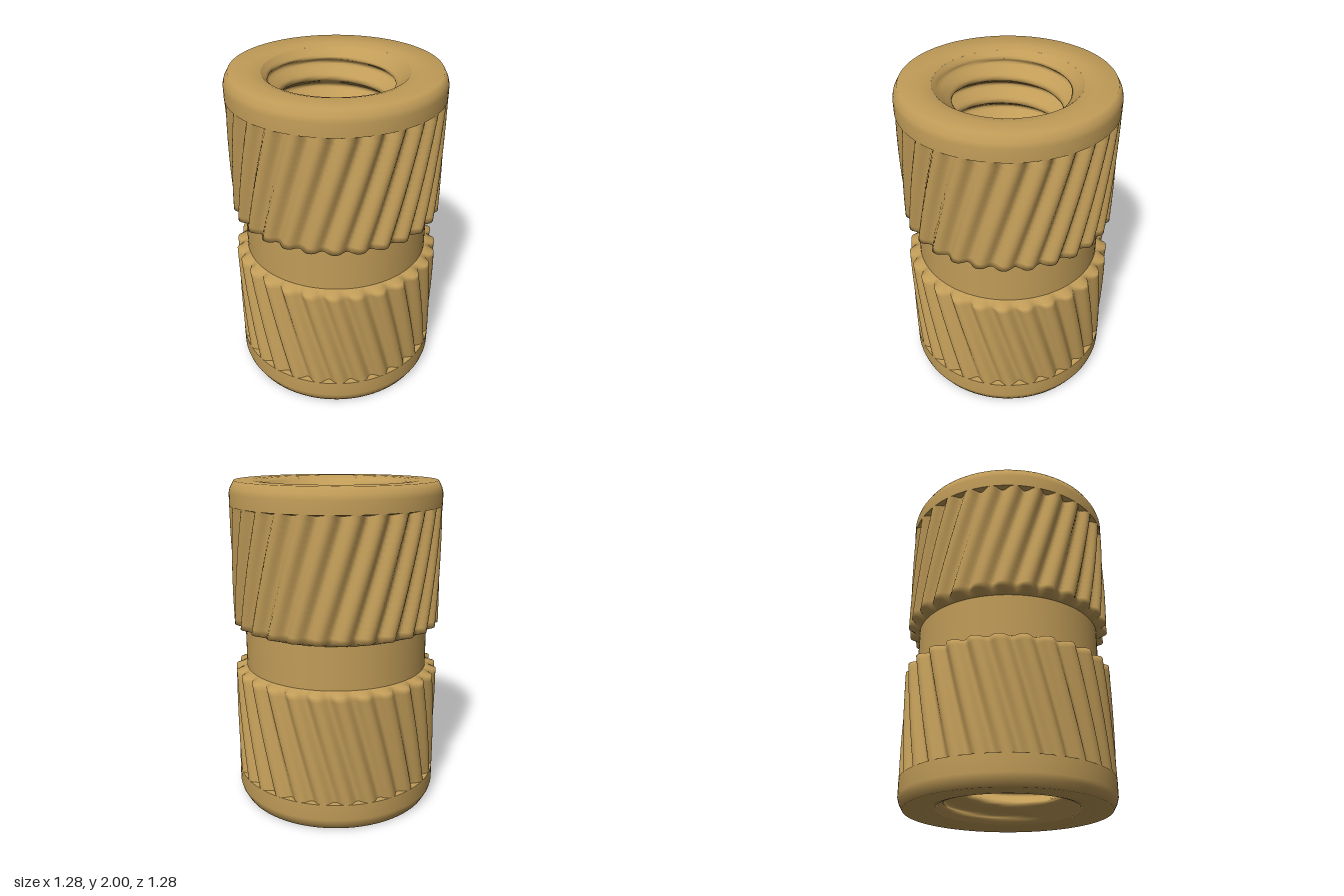
import * as THREE from 'three';
import { mergeVertices } from 'three/addons/utils/BufferGeometryUtils.js';

const TEETH = 28;
const STEP = (Math.PI * 2) / TEETH;
const R = 0.64, NECK = 0.57;

// Turned shape whose radius can be altered by rule(angle, y, r)
function turned(profile, segments, rule) {
  const pts = profile.map(([r, y]) => new THREE.Vector2(r, y));
  let g = new THREE.LatheGeometry(pts, segments);
  if (!rule) return g;
  const p = g.attributes.position;
  for (let i = 0; i < p.count; i++) {
    const x = p.getX(i), z = p.getZ(i), y = p.getY(i);
    const a = Math.atan2(x, z), r = Math.hypot(x, z);
    const k = rule(a, y, r) / r;
    p.setX(i, x * k);
    p.setZ(i, z * k);
  }
  g.deleteAttribute('uv');
  g.deleteAttribute('normal');
  g = mergeVertices(g, 1e-5);
  g.computeVertexNormals();
  return g;
}

// Band of slanted teeth; phase is the angle of one groove at y0, slope is the twist per unit height
function knurl(ends, y0, y1, phase, slope) {
  const rows = [];
  for (let i = 0; i <= 20; i++) rows.push([R, y0 + ((y1 - y0) * i) / 20]);
  const profile = [...ends.below, ...rows, ...ends.above];
  return turned(profile, TEETH * 12, (a, y, r) => {
    if (r < R - 0.01) return r;
    const t = (a - phase - slope * (y - y0)) / STEP;
    const groove = Math.pow(0.5 + 0.5 * Math.cos(t * Math.PI * 2), 1.5);
    return r - 0.038 * groove;
  });
}

export function createModel() {
  const group = new THREE.Group();
  const brass = new THREE.MeshStandardMaterial({ color: 0xc19c58 });
  brass.name = 'brass';
  const add = (name, geometry) => {
    const m = new THREE.Mesh(geometry, brass);
    m.name = name;
    group.add(m);
  };

  // Rounded end collars, mirrored top and bottom
  const collar = (h) => [[R, h], [R, 0.07], [0.632, 0.04], [0.61, 0], [0.5, 0], [0.46, 0.004], [0.425, 0.015]];
  add('upperCollar', turned(collar(0.145).map(([r, d]) => [r, 2 - d]), 96));
  add('lowerCollar', turned(collar(0.17).reverse(), 96));

  // Shoulders hidden between tooth ends and collars
  const shoulder = (y) => turned([[0.59, y], [R, y]], 96);
  const roof = shoulder(1.855);
  roof.setIndex([...roof.index.array].reverse());
  roof.computeVertexNormals();
  add('upperShoulder', turned([[0.59, 1.84], [0.61, 1.848], [R, 1.856]], 96));
  add('lowerShoulder', turned([[R, 0.169], [0.59, 0.172]], 96));

  // Two bands of teeth slanting opposite ways
  add('upperKnurl', knurl({ below: [[NECK, 1.125]], above: [] }, 1.147, 1.855, 0.35, 0.49));
  add('lowerKnurl', knurl({ below: [], above: [[NECK, 0.862]] }, 0.17, 0.845, 0.4, -0.44));

  // Plain waist between the bands
  add('neck', turned([[NECK, 0.85], [NECK, 1.14]], 96));

  // Threaded bore with a countersink at each end
  const PITCH = 0.15, rows = [];
  for (let i = 0; i <= 156; i++) rows.push([0.425, 1.985 - (1.97 * i) / 156]);
  add('threadedBore', turned(rows, 72, (a, y) => {
    // right-handed helix
    const t = y / PITCH - a / (Math.PI * 2);
    const tri = Math.abs((t - Math.floor(t)) * 2 - 1);
    const thread = 0.317 + 0.08 * THREE.MathUtils.clamp(tri * 1.5 - 0.3, 0, 1);
    const sink = 0.425 - Math.min(1.985 - y, y - 0.015) * 1.1;
    return Math.max(thread, sink);
  }));

  return group;
}
